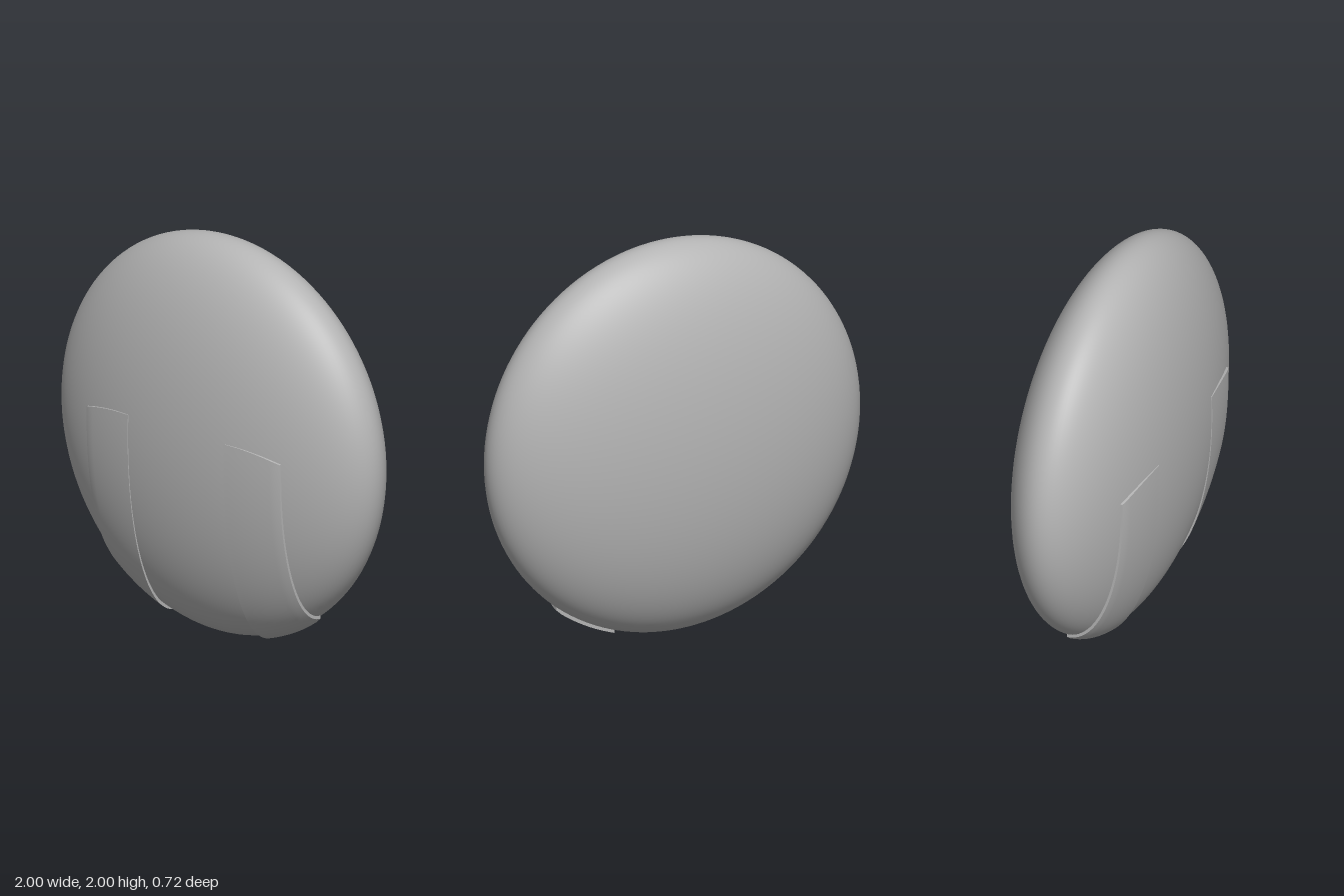
import * as THREE from 'three';
import { toCreasedNormals } from 'three/addons/utils/BufferGeometryUtils.js';

const DEPTH = 0.36; // half depth of the disc; its other radii are 1

// Thin strap that follows the front of the disc; side is +1 or -1
function strapGeometry(side) {
  const cols = 14, rows = 40, positions = [], index = [];
  for (let i = 0; i <= cols; i++) {
    // The first and last columns sink into the disc to form the side walls
    const u = THREE.MathUtils.clamp((i - 1) / (cols - 2), 0, 1);
    const x = 0.31 + 0.315 * u;
    const s = Math.sqrt(1 - x * x);
    const top = 0.105 - 0.045 * u * u;
    const tTop = Math.acos(-top / s);
    for (let j = 0; j <= rows; j++) {
      const v = THREE.MathUtils.clamp((j - 1) / (rows - 2), 0, 1);
      const t = tTop * v;
      const edge = i === 0 || i === cols || j === 0 || j === rows;
      const round = u > 0.93 ? 0.004 : 0;
      const lift = edge ? -0.01 : 0.004 + 0.01 * u + 0.016 * (1 - u * 0.6) * (1 - v) ** 2 - round;
      const n = new THREE.Vector2(-Math.cos(t), Math.sin(t) / DEPTH).normalize();
      positions.push(side * x, 1 - s * Math.cos(t) + n.x * lift, DEPTH * s * Math.sin(t) + n.y * lift);
    }
  }
  for (let i = 0; i < cols; i++) {
    for (let j = 0; j < rows; j++) {
      const a = i * (rows + 1) + j, b = a + rows + 1;
      if (side > 0) index.push(a, b, b + 1, a, b + 1, a + 1);
      else index.push(a, b + 1, b, a, a + 1, b + 1);
    }
  }
  const g = new THREE.BufferGeometry();
  g.setAttribute('position', new THREE.Float32BufferAttribute(positions, 3));
  g.setIndex(index);
  return toCreasedNormals(g, 0.6);
}

export function createModel() {
  const group = new THREE.Group();
  const grey = new THREE.MeshStandardMaterial({ color: 0xb4b4b4, side: THREE.DoubleSide });
  grey.name = 'grey';

  // Flattened round body
  const body = new THREE.Mesh(new THREE.SphereGeometry(1, 96, 64).scale(1, 1, DEPTH), grey);
  body.name = 'body';
  body.position.y = 1;
  group.add(body);

  // Pair of straps curving down to the lower rim
  for (const side of [1, -1]) {
    const strap = new THREE.Mesh(strapGeometry(side), grey);
    strap.name = side > 0 ? 'leftStrap' : 'rightStrap';
    group.add(strap);
  }
  return group;
}
